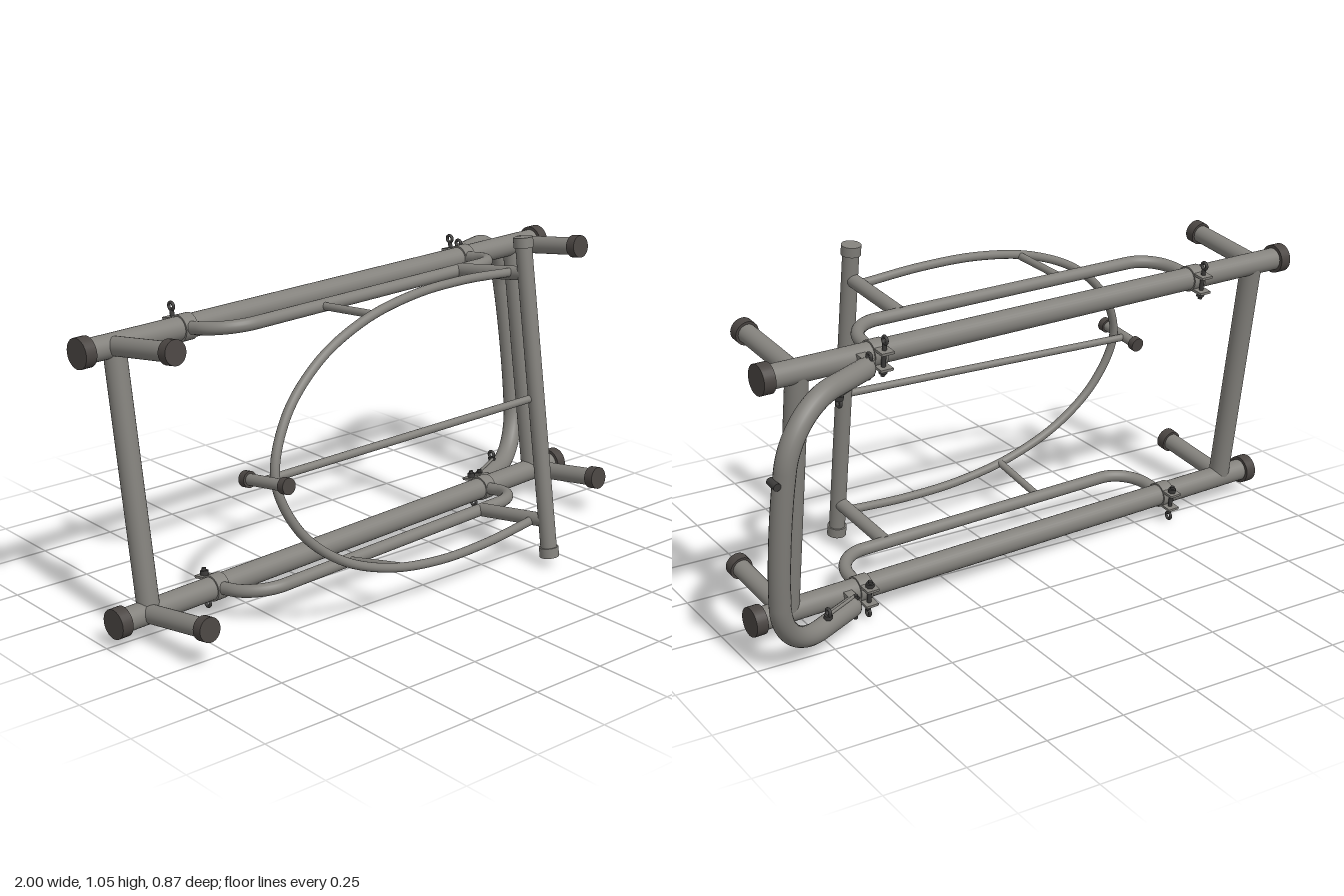
import * as THREE from 'three';

const V = (x, y, z) => new THREE.Vector3(x, y, z);

export function createModel() {
  const steel = new THREE.MeshStandardMaterial({ color: 0x83817c });
  steel.name = 'grey steel';
  const rubber = new THREE.MeshStandardMaterial({ color: 0x4a4542 });
  rubber.name = 'dark rubber';
  const bolt = new THREE.MeshStandardMaterial({ color: 0x3c3b3a });
  bolt.name = 'dark bolt';

  // Frame axes: x along the rails, y from lower to upper rail, z towards the handle
  const frame = new THREE.Group();
  frame.name = 'rackFrame';

  const add = (name, geometry, material) => {
    const mesh = new THREE.Mesh(geometry, material);
    mesh.name = name;
    frame.add(mesh);
    return mesh;
  };

  // Straight round bar between two points
  const rod = (name, a, b, r, material = steel, sides = 28) => {
    const mesh = add(name, new THREE.CylinderGeometry(r, r, a.distanceTo(b), sides), material);
    mesh.position.copy(a).add(b).multiplyScalar(0.5);
    mesh.quaternion.setFromUnitVectors(V(0, 1, 0), b.clone().sub(a).normalize());
  };

  const box = (name, p, size) => {
    add(name, new THREE.BoxGeometry(...size), steel).position.copy(p);
  };

  // Bent tube through corner points, each rounded by a fillet
  const bentTube = (name, pts, fillet, r) => {
    const path = new THREE.CurvePath();
    let from = pts[0];
    for (let i = 1; i < pts.length - 1; i++) {
      const c = pts[i];
      const inn = c.clone().add(pts[i - 1].clone().sub(c).setLength(fillet));
      const out = c.clone().add(pts[i + 1].clone().sub(c).setLength(fillet));
      const k = 0.56;
      path.add(new THREE.LineCurve3(from, inn));
      path.add(new THREE.CubicBezierCurve3(inn, inn.clone().lerp(c, k), out.clone().lerp(c, k), out));
      from = out;
    }
    path.add(new THREE.LineCurve3(from, pts[pts.length - 1]));
    add(name, new THREE.TubeGeometry(path, 120, r, 20, false), steel);
  };

  // Bolt along y with an eye on its outer end
  const eyeBolt = (x, z, inner, outer) => {
    const s = Math.sign(outer - inner);
    rod('boltShank', V(x, inner, z), V(x, outer - s * 0.01, z), 0.007, bolt, 12);
    rod('boltNut', V(x, inner + s * 0.008, z), V(x, inner + s * 0.022, z), 0.013, bolt, 6);
    const eye = add('boltEye', new THREE.TorusGeometry(0.011, 0.005, 10, 20), bolt);
    eye.position.set(x, outer, z);
    eye.rotation.y = Math.PI / 2;
  };

  const H = 0.397;
  for (const s of [1, -1]) {
    const y = s * H;

    // Long rail with end caps
    rod('longRail', V(-0.96, y, 0), V(0.96, y, 0), 0.036);
    for (const e of [1, -1]) {
      rod('railCap', V(e * 0.938, y, 0), V(e * 0.975, y, 0), 0.046, rubber);
      // Foot
      rod('foot', V(e * 0.857, y, 0), V(e * 0.857, y, 0.275), 0.029);
      rod('footCap', V(e * 0.857, y, 0.262), V(e * 0.857, y, 0.294), 0.037, rubber);
    }

    // Side guard bar and its clamps
    const gl = -0.592, gr = 0.595;
    bentTube('guardBar', [V(gl, y, 0), V(gl + 0.01, y, 0.18), V(gr - 0.01, y, 0.18), V(gr, y, 0)], 0.11, 0.02);
    for (const x of [gl, gr]) {
      rod('clampBand', V(x - 0.022, y, 0), V(x + 0.022, y, 0), 0.041);
      for (const e of [1, -1]) box('clampEar', V(x, y + e * 0.026, -0.045), [0.042, 0.008, 0.05]);
      eyeBolt(x, -0.048, s * 0.345, s * 0.457);
    }

    // Struts joining the guard to the hoop and the handle
    rod('rearStrut', V(0.39, y, 0.18), V(0.392, y, 0.455), 0.022);
    rod('middleStrut', V(-0.21, y, 0.18), V(-0.21, s * 0.382, 0.405), 0.012);

    // Closed end of the bent frame and its bracket
    add('endFrameTip', new THREE.SphereGeometry(0.032, 20, 14), steel).position.set(0.675, y, -0.075);
    box('endFrameBracket', V(0.66, y, -0.055), [0.03, 0.05, 0.055]);
    eyeBolt(0.66, -0.072, s * 0.36, s * 0.43);
    eyeBolt(0.79, -0.13, s * 0.375, s * 0.345);
    rod('endFrameStay', V(0.665, s * 0.365, -0.07), V(0.79, s * 0.36, -0.125), 0.005, steel, 10);
  }

  // Cross posts between the rails
  for (const x of [-0.846, 0.848]) rod('crossPost', V(x, -H, 0), V(x, H, 0), 0.034);

  // Bent end frame
  bentTube('endFrame', [V(0.675, H, -0.075), V(0.98, H, -0.195), V(1.01, 0, -0.2),
    V(0.98, -H, -0.195), V(0.675, -H, -0.075)], 0.18, 0.032);
  rod('endFramePin', V(1.03, 0.19, -0.182), V(1.03, 0.19, -0.222), 0.012, bolt, 12);

  // Handle bar with end collars
  rod('handleBar', V(0.395, -0.51, 0.458), V(0.395, 0.5, 0.458), 0.026);
  for (const y of [-0.5, 0.494]) {
    rod('handleCollar', V(0.395, y - 0.016, 0.458), V(0.395, y + 0.016, 0.458), 0.031);
  }

  // Rounded hoop
  const half = [[0.392, 0.4], [0.167, 0.415], [-0.047, 0.41], [-0.26, 0.372], [-0.45, 0.29], [-0.59, 0.162]];
  const hoopPts = [
    ...half.map(([x, y]) => V(x, y, 0.405)),
    V(-0.652, 0, 0.405),
    ...half.slice().reverse().map(([x, y]) => V(x, -y, 0.405)),
  ];
  add('hoop', new THREE.TubeGeometry(new THREE.CatmullRomCurve3(hoopPts), 120, 0.014, 16, false), steel);

  // Centre rod and the peg at its tip
  rod('centreRod', V(-0.682, 0, 0.38), V(0.395, 0.003, 0.45), 0.012);
  rod('tipPeg', V(-0.682, 0, 0.315), V(-0.682, 0, 0.49), 0.017);
  for (const z of [0.309, 0.473]) {
    rod('tipPegCap', V(-0.682, 0, z), V(-0.682, 0, z + 0.023), 0.024, rubber);
  }

  // Lean the whole frame into its resting pose
  const ex = V(0.9974, 0.003, -0.0725).normalize();
  const ez = ex.clone().cross(V(-0.013, 0.99, -0.138)).normalize();
  const ey = ez.clone().cross(ex);
  frame.applyMatrix4(new THREE.Matrix4().makeBasis(ex, ey, ez).setPosition(-0.021, 0.479, -0.102));

  const model = new THREE.Group();
  model.name = 'tubularRack';
  model.add(frame);
  return model;
}
